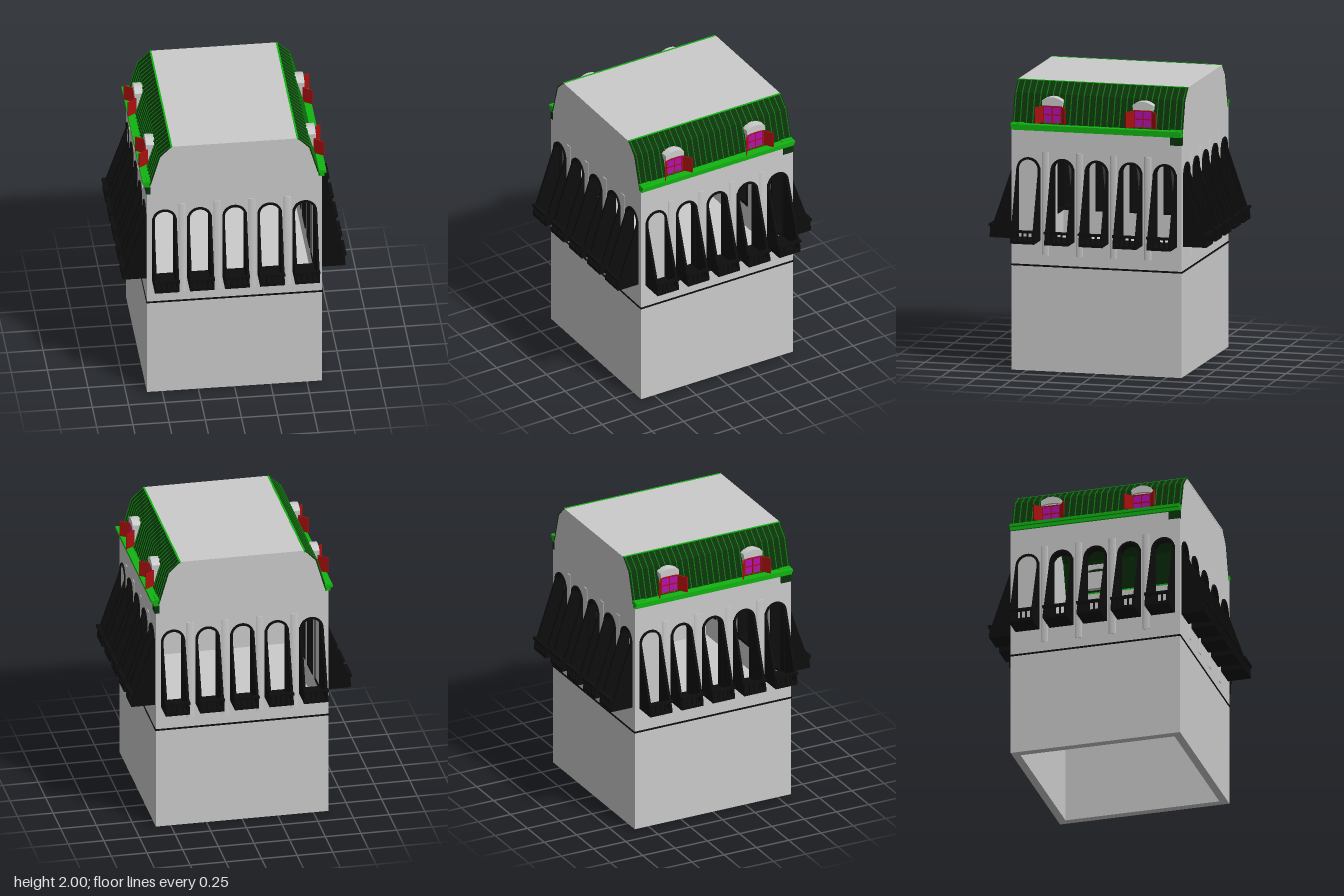
import * as THREE from 'three';

const mat = (color) => new THREE.MeshStandardMaterial({ color, side: THREE.DoubleSide });
const grey = mat(0xcccccc), black = mat(0x0d0d0d), darkGreen = mat(0x0b330b);
const ribGreen = mat(0x0f7a0f), green = mat(0x11b411), red = mat(0xa81010), magenta = mat(0xb410b4);

const HALF = 0.605, WALL = 0.05, FLOOR = 0.735;
const SILL = 0.91, SPRING = 1.405;
const BAYS = [-2, -1, 0, 1, 2].map((i) => i * 0.2425);

function add(parent, name, geometry, material) {
  const mesh = new THREE.Mesh(geometry, material);
  mesh.name = name;
  parent.add(mesh);
  return mesh;
}

// Box given by its limits on each axis
function box(parent, name, material, x0, x1, y0, y1, z0, z1) {
  const g = new THREE.BoxGeometry(x1 - x0, y1 - y0, z1 - z0);
  g.translate((x0 + x1) / 2, (y0 + y1) / 2, (z0 + z1) / 2);
  return add(parent, name, g, material);
}

function extrude(shape, depth, z = 0) {
  const g = new THREE.ExtrudeGeometry(shape, { depth, bevelEnabled: false, curveSegments: 14 });
  return g.translate(0, 0, z);
}

const polygon = (pts) => new THREE.Shape(pts.map(([x, y]) => new THREE.Vector2(x, y)));

// Round-headed opening
function arch(path, x, w, bottom) {
  path.moveTo(x - w, bottom);
  path.lineTo(x + w, bottom);
  path.lineTo(x + w, SPRING);
  path.absarc(x, SPRING, w, 0, Math.PI, false);
  path.lineTo(x - w, bottom);
  return path;
}

// Mansard slope on the +x side, offset outward by o
const slope = (o) => [[0.592, 1.69], [0.58, 1.72], [0.522, 1.92], [0.44, 1.998]]
  .map(([x, y], i) => [x + o * (i === 3 ? 0.5 : 0.95), y + o * (i === 3 ? 0.2 : 0.35)]);

// Balcony with sloping side fins, facing +z
function makeBalcony() {
  const g = new THREE.Group();
  g.name = 'balcony';
  const ring = arch(new THREE.Shape(), 0, 0.083, SILL);
  ring.holes.push(arch(new THREE.Path(), 0, 0.067, SILL + 0.02));
  add(g, 'archFrame', extrude(ring, 0.064, 0.549), black);
  box(g, 'balconyFloor', black, -0.085, 0.085, SILL, 0.932, 0.6, 0.77);
  box(g, 'balconyRail', black, -0.087, 0.087, 0.988, 1.004, 0.752, 0.778);
  for (let i = 0; i < 5; i++) {
    const x = -0.074 + i * 0.037;
    box(g, 'baluster', black, x - 0.006, x + 0.006, 0.93, 0.99, 0.757, 0.769);
  }
  const fin = polygon([[0.6, SILL], [0.77, SILL], [0.77, 0.94], [0.606, 1.42], [0.6, 1.42]]);
  for (const s of [-1, 1]) {
    const geo = extrude(fin, 0.016, -0.008).rotateY(-Math.PI / 2);
    add(g, 'sideFin', geo, black).position.x = s * 0.077;
  }
  return g;
}

// One arcaded wall facing +z, with or without the gable above
function makeArcade(gable) {
  const g = new THREE.Group();
  g.name = gable ? 'gableWall' : 'sideWall';
  const w = gable ? HALF : HALF - WALL;
  let outline = [[-w, FLOOR], [w, FLOOR], [w, 1.69]];
  if (gable) {
    const edge = slope(-0.005).slice(1);
    outline.push(...edge, ...edge.map(([x, y]) => [-x, y]).reverse());
  }
  outline.push([-w, 1.69]);
  const wall = polygon(outline);
  BAYS.forEach((x) => wall.holes.push(arch(new THREE.Path(), x, 0.08, SILL + 0.002)));
  add(g, 'wall', extrude(wall, WALL, HALF - WALL), grey);

  const balcony = makeBalcony();
  for (const x of BAYS) {
    const b = balcony.clone();
    b.position.x = x;
    g.add(b);
  }
  // Shallow rounded pilasters between the bays
  for (let i = 0; i < 4; i++) {
    const p = add(g, 'pilaster', new THREE.CylinderGeometry(0.026, 0.026, 0.72, 16), grey);
    p.scale.z = 0.25;
    p.position.set(-0.36375 + i * 0.2425, 1.17, HALF - 0.001);
  }
  return g;
}

// Dormer window on the +x slope
function makeDormer(z) {
  const g = new THREE.Group();
  g.name = 'dormer';
  box(g, 'dormerBody', grey, 0.535, 0.572, 1.722, 1.86, -0.066, 0.066);
  box(g, 'windowPane', magenta, 0.57, 0.577, 1.725, 1.848, -0.064, 0.064);
  for (const s of [-1, 0, 1]) {
    box(g, 'windowBar', red, 0.572, 0.581, 1.725, 1.848, s * 0.062 - 0.004, s * 0.062 + 0.004);
    const y = 1.786 + s * 0.058;
    box(g, 'windowRail', red, 0.572, 0.5805, y - 0.004, y + 0.004, -0.066, 0.066);
  }
  for (const s of [-1, 1]) {
    const shutter = box(g, 'shutter', red, 0, 0.077, 1.73, 1.843, -0.004, 0.004);
    shutter.position.set(0.575, 0, s * 0.066);
    shutter.rotation.y = -s * 0.58;
  }
  const hood = new THREE.Shape();
  hood.moveTo(-0.07, 1.85);
  hood.quadraticCurveTo(0, 1.872, 0.07, 1.85);
  hood.lineTo(0.072, 1.885);
  hood.quadraticCurveTo(0, 1.935, -0.072, 1.885);
  add(g, 'dormerHood', extrude(hood, 0.066).rotateY(Math.PI / 2), grey).position.x = 0.521;
  g.position.z = z;
  return g;
}

// Everything on the +x roof slope
function makeRoofSide() {
  const g = new THREE.Group();
  g.name = 'roofSide';
  const strip = (o) => polygon([...slope(o), ...slope(-0.008).reverse()]);
  add(g, 'roofSlope', extrude(strip(0), 1.212, -0.606), darkGreen);
  const rib = extrude(strip(0.006), 0.006, -0.003);
  for (let i = 0; i < 28; i++) {
    add(g, 'roofRib', rib, ribGreen).position.z = -0.594 + i * 0.044;
  }
  box(g, 'ridgeTrim', green, 0.43, 0.442, 1.985, 2, -0.606, 0.606);
  box(g, 'cornice', green, 0.575, 0.635, 1.7, 1.72, -0.606, 0.606);
  box(g, 'corniceLower', green, 0.58, 0.62, 1.677, 1.7, -0.606, 0.606);
  box(g, 'cornerBracket', darkGreen, 0.58, 0.612, 1.62, 1.68, -0.606, -0.525);
  for (const s of [-1, 1]) {
    box(g, 'gutterEnd', green, 0.575, 0.605, 1.715, 1.725, s * 0.563 - 0.042, s * 0.563 + 0.042);
    g.add(makeDormer(s * 0.323));
  }
  return g;
}

export function createModel() {
  const model = new THREE.Group();
  model.name = 'arcadedBuilding';

  // Hollow base, open underneath
  const square = (h) => [[-h, -h], [h, -h], [h, h], [-h, h]];
  const tube = polygon(square(HALF));
  tube.holes.push(polygon(square(HALF - 0.055)));
  add(model, 'baseWalls', extrude(tube, FLOOR).rotateX(-Math.PI / 2), grey);
  box(model, 'floorSlab', grey, -0.552, 0.552, 0.65, FLOOR, -0.552, 0.552);
  const band = polygon(square(0.609));
  band.holes.push(polygon(square(HALF - 0.01)));
  add(model, 'beltCourse', extrude(band, 0.012).rotateX(-Math.PI / 2), black).position.y = 0.729;

  // Four arcades
  for (let i = 0; i < 4; i++) {
    const wall = makeArcade(i % 2 === 0);
    wall.rotation.y = (i * Math.PI) / 2;
    model.add(wall);
  }

  // Roof
  box(model, 'roofDeck', grey, -0.435, 0.435, 1.985, 1.998, -0.606, 0.606);
  for (const turn of [0, Math.PI]) {
    const side = makeRoofSide();
    side.rotation.y = turn;
    model.add(side);
  }
  return model;
}
